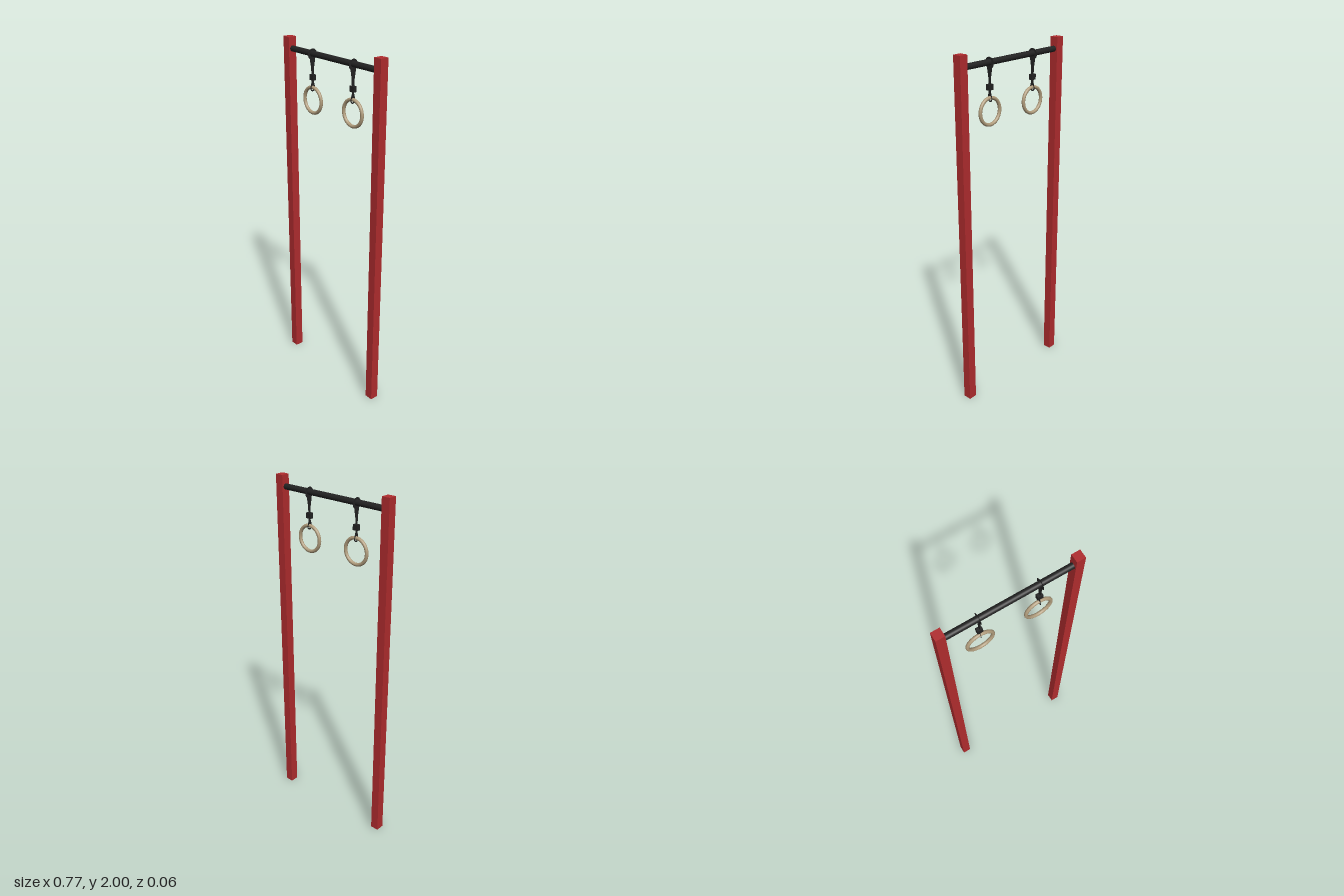
import * as THREE from 'three';

export function createModel() {
  const group = new THREE.Group();
  const mat = (name, color, side = THREE.FrontSide) => {
    const m = new THREE.MeshStandardMaterial({ color, side });
    m.name = name;
    return m;
  };
  const red = mat('red paint', 0xb02c2e);
  const black = mat('black', 0x222222, THREE.DoubleSide);
  const wood = mat('pale wood', 0xb09c7c);

  const add = (name, geometry, material, x, y, parent = group) => {
    const mesh = new THREE.Mesh(geometry, material);
    mesh.name = name;
    mesh.position.set(x, y, 0);
    parent.add(mesh);
    return mesh;
  };

  // Crossbar between the posts
  const barY = 1.936;
  const bar = add('crossbar', new THREE.CylinderGeometry(0.016, 0.016, 0.68, 32), black, 0, barY);
  bar.rotation.z = Math.PI / 2;

  // Flat strap outline: loop round the bar, tapered web, small loop round the ring
  const strapShape = new THREE.Shape();
  strapShape.absarc(0, 1.932, 0.03, -0.9, Math.PI + 0.9, false);
  strapShape.lineTo(-0.01, 1.86);
  strapShape.lineTo(-0.008, 1.785);
  strapShape.lineTo(-0.016, 1.758);
  strapShape.absarc(0, 1.75, 0.017, Math.PI - 0.5, Math.PI * 2 + 0.5, false);
  strapShape.lineTo(0.008, 1.785);
  strapShape.lineTo(0.01, 1.86);
  const hole = (y, r) => {
    const path = new THREE.Path();
    path.absarc(0, y, r, 0, Math.PI * 2, true);
    strapShape.holes.push(path);
  };
  hole(barY, 0.016);
  hole(1.752, 0.011);
  const strapGeometry = new THREE.ShapeGeometry(strapShape, 16).rotateY(Math.PI / 2);

  for (const side of [-1, 1]) {
    const name = side > 0 ? 'left' : 'right';
    add(name + 'Post', new THREE.BoxGeometry(0.048, 2, 0.048), red, side * 0.361, 1);

    // Hanging ring with its strap and buckle
    const hanger = new THREE.Group();
    hanger.name = name + 'RingSet';
    hanger.position.x = side * 0.163;
    group.add(hanger);
    add('strap', strapGeometry, black, 0, 0, hanger);
    add('stitching', new THREE.BoxGeometry(0.004, 0.034, 0.012), black, 0, 1.873, hanger);
    add('buckle', new THREE.BoxGeometry(0.03, 0.03, 0.022), black, 0, 1.81, hanger);
    add('ring', new THREE.TorusGeometry(0.0705, 0.0095, 16, 48), wood, 0, 1.684, hanger);
  }
  return group;
}
